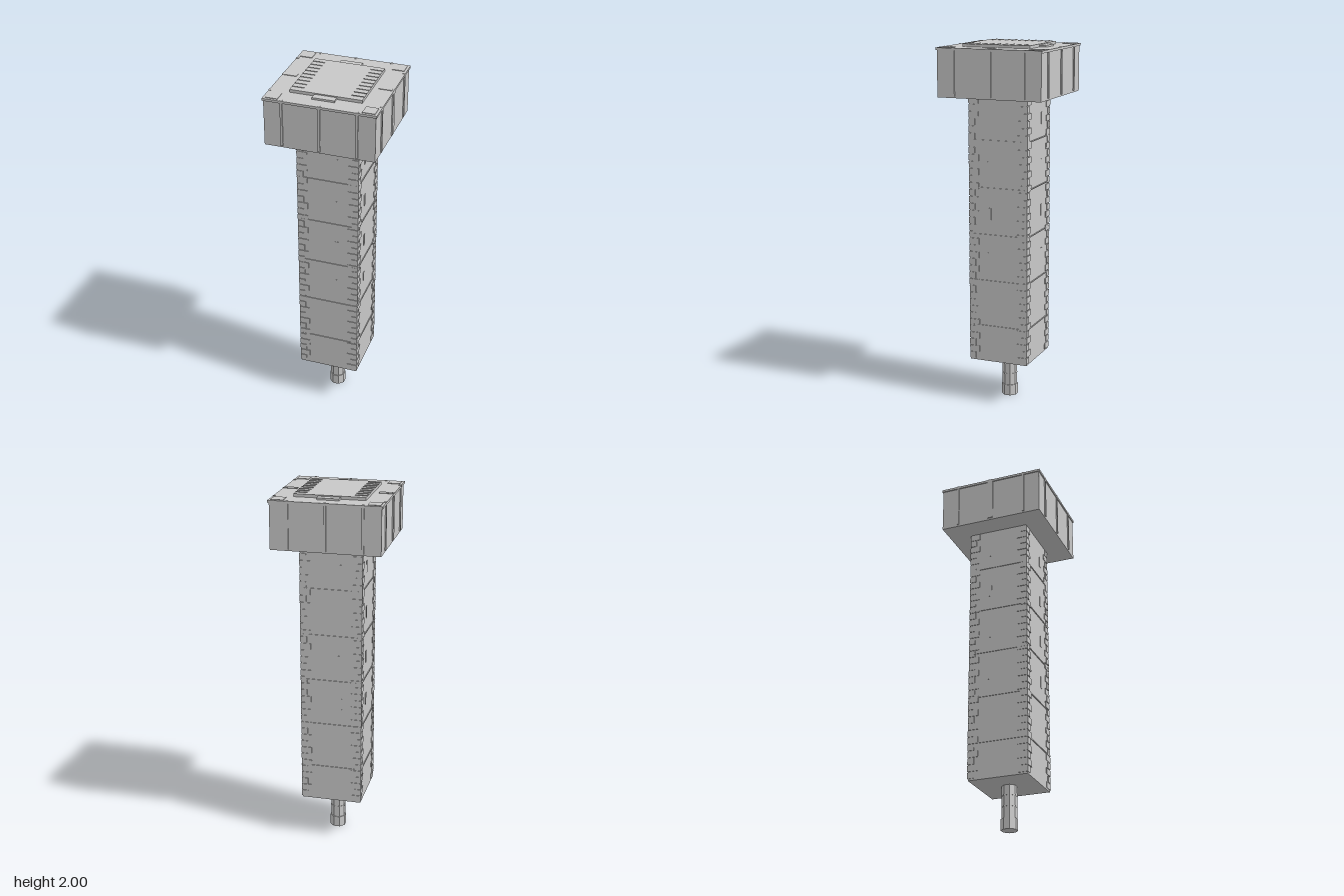
import * as THREE from 'three';

export function createModel() {
  const model = new THREE.Group();
  const stone = new THREE.MeshStandardMaterial({ color: 0xc8c8c8 });
  stone.name = 'pale grey stone';

  const part = (name, geometry, parent = model) => {
    const mesh = new THREE.Mesh(geometry, stone);
    mesh.name = name;
    parent.add(mesh);
    return mesh;
  };
  // Box given by its lower and upper limits on each axis
  const box = (name, x0, x1, y0, y1, z0, z1, parent = model) => {
    const mesh = part(name, new THREE.BoxGeometry(x1 - x0, y1 - y0, z1 - z0), parent);
    mesh.position.set((x0 + x1) / 2, (y0 + y1) / 2, (z0 + z1) / 2);
    return mesh;
  };
  const group = (name) => {
    const g = new THREE.Group();
    g.name = name;
    model.add(g);
    return g;
  };

  // Octagonal peg under the tower, with a wider foot and thin collars
  const octagon = (name, r, y0, y1) => {
    const mesh = part(name, new THREE.CylinderGeometry(r, r, y1 - y0, 8).toNonIndexed());
    mesh.geometry.computeVertexNormals();
    mesh.rotation.y = Math.PI / 8;
    mesh.position.y = (y0 + y1) / 2;
  };
  octagon('pegFoot', 0.0455, 0, 0.062);
  octagon('pegShaft', 0.041, 0.06, 0.25);
  for (const y of [0.127, 0.187]) octagon('pegCollar', 0.043, y - 0.003, y + 0.003);

  // Square tower shaft and its thin seam courses
  const W = 0.167;
  box('towerShaft', -W, W, 0.24, 1.73, -W, W);
  for (let i = 0; i < 5; i++) {
    const y = 0.445 + i * 0.26;
    box('seamCourse', -0.171, 0.171, y - 0.003, y + 0.003, -0.171, 0.171);
  }

  // Corner stones, alternately long on one face and on the other
  const corners = group('cornerStones');
  const rows = 38, step = 1.47 / rows, outer = 0.1705;
  for (let i = 0; i < rows; i++) {
    const y0 = 0.25 + i * step;
    for (const sx of [-1, 1]) for (const sz of [-1, 1]) {
      const long = (i + (sx * sz > 0 ? 0 : 1)) % 2 === 0;
      const lx = long ? 0.058 : 0.036, lz = long ? 0.036 : 0.058;
      const mesh = box('cornerStone', outer - lx, outer, y0, y0 + step - 0.005, outer - lz, outer, corners);
      mesh.position.x *= sx;
      mesh.position.z *= sz;
    }
  }

  // Narrow slit frames on the four faces
  for (let k = 0; k < 4; k++) {
    const face = group('slitFace');
    face.rotation.y = k * Math.PI / 2;
    const s = k % 2 ? -1 : 1;
    for (const y of [0.8, 1.05, 1.305, 1.56]) {
      const slit = box('slitPlate', 0.04, 0.06, y, y + 0.065, W - 0.001, W + 0.002, face);
      slit.position.x *= s;
    }
  }

  // Wide head with a projecting rim
  const H = 0.293;
  box('head', -H, H, 1.72, 1.975, -H, H);
  box('headRim', -0.299, 0.299, 1.968, 1.981, -0.299, 0.299);

  // Upright ribs on each side of the head; the side walls have a wide middle rib
  for (let k = 0; k < 4; k++) {
    const side = group('headSide');
    side.rotation.y = k * Math.PI / 2;
    for (const x of [-0.198, 0, 0.198]) {
      const w = k % 2 && x === 0 ? 0.015 : 0.006;
      box('headRib', x - w, x + w, 1.73, 1.983, H - 0.008, 0.2995, side);
    }
  }

  // Corner pads and side bars on the roof
  for (const sx of [-1, 1]) {
    for (const sz of [-1, 1]) {
      const pad = box('roofPad', 0.22, 0.286, 1.978, 1.984, 0.22, 0.286);
      pad.position.x *= sx;
      pad.position.z *= sz;
    }
    const bar = box('roofBar', 0.22, 0.29, 1.978, 1.984, -0.015, 0.015);
    bar.position.x *= sx;
  }

  // Raised hatch with end tabs and rows of thin slats along two edges
  box('hatch', -0.191, 0.191, 1.978, 1.997, -0.192, 0.192);
  for (const s of [-1, 1]) {
    const tab = box('hatchTab', -0.059, 0.059, 1.978, 1.991, 0.185, 0.23);
    tab.position.z *= s;
    for (let i = -4; i <= 4; i++) {
      const z = i * 0.0388;
      const slat = box('hatchSlat', 0.125, 0.191, 1.995, 2, z - 0.002, z + 0.002);
      slat.position.x *= s;
    }
  }

  return model;
}
